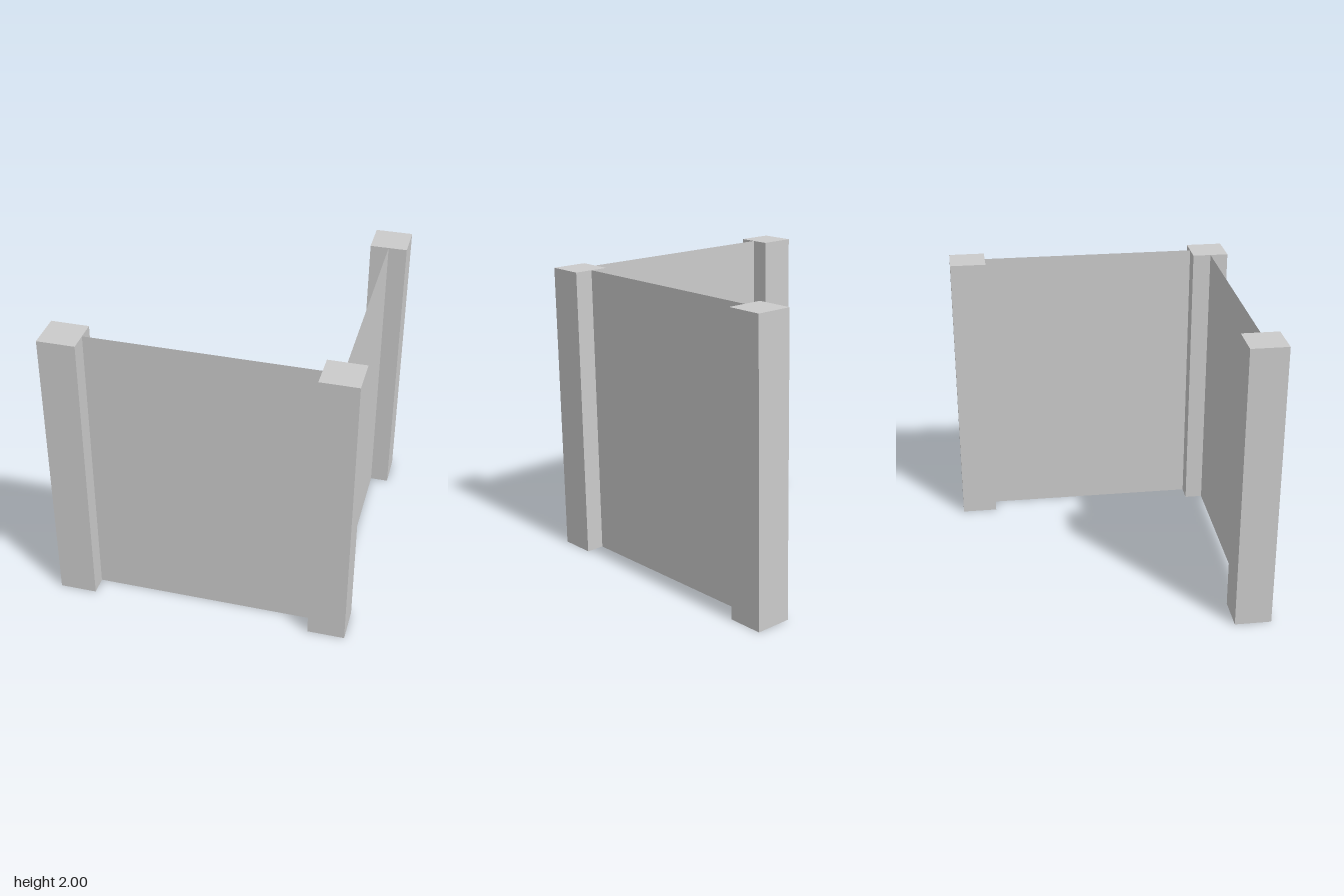
import * as THREE from 'three';

const HEIGHT = 2;
const POST = 0.25;
const MID = 1 - POST / 2; // post centre line
const SPAN = 2 - 2 * POST; // clear width between posts

export function createModel() {
  const group = new THREE.Group();
  const postMaterial = new THREE.MeshStandardMaterial({ color: 0xcccccc, flatShading: true });
  const panelMaterial = new THREE.MeshStandardMaterial({ color: 0xcccccc, side: THREE.DoubleSide });

  const add = (name, geometry, material, x, z) => {
    const mesh = new THREE.Mesh(geometry, material);
    mesh.name = name;
    mesh.position.set(x, HEIGHT / 2, z);
    group.add(mesh);
    return mesh;
  };

  // Square posts: the corner and the two free ends
  const postGeometry = new THREE.BoxGeometry(POST, HEIGHT, POST);
  add('cornerPost', postGeometry, postMaterial, MID, MID);
  add('frontEndPost', postGeometry, postMaterial, -MID, MID);
  add('backEndPost', postGeometry, postMaterial, MID, -MID);

  // Paper-thin wall panels on the post centre lines
  const panelGeometry = new THREE.PlaneGeometry(SPAN, HEIGHT);
  add('frontPanel', panelGeometry, panelMaterial, 0, MID);
  add('sidePanel', panelGeometry, panelMaterial, MID, 0).rotation.y = Math.PI / 2;

  return group;
}
